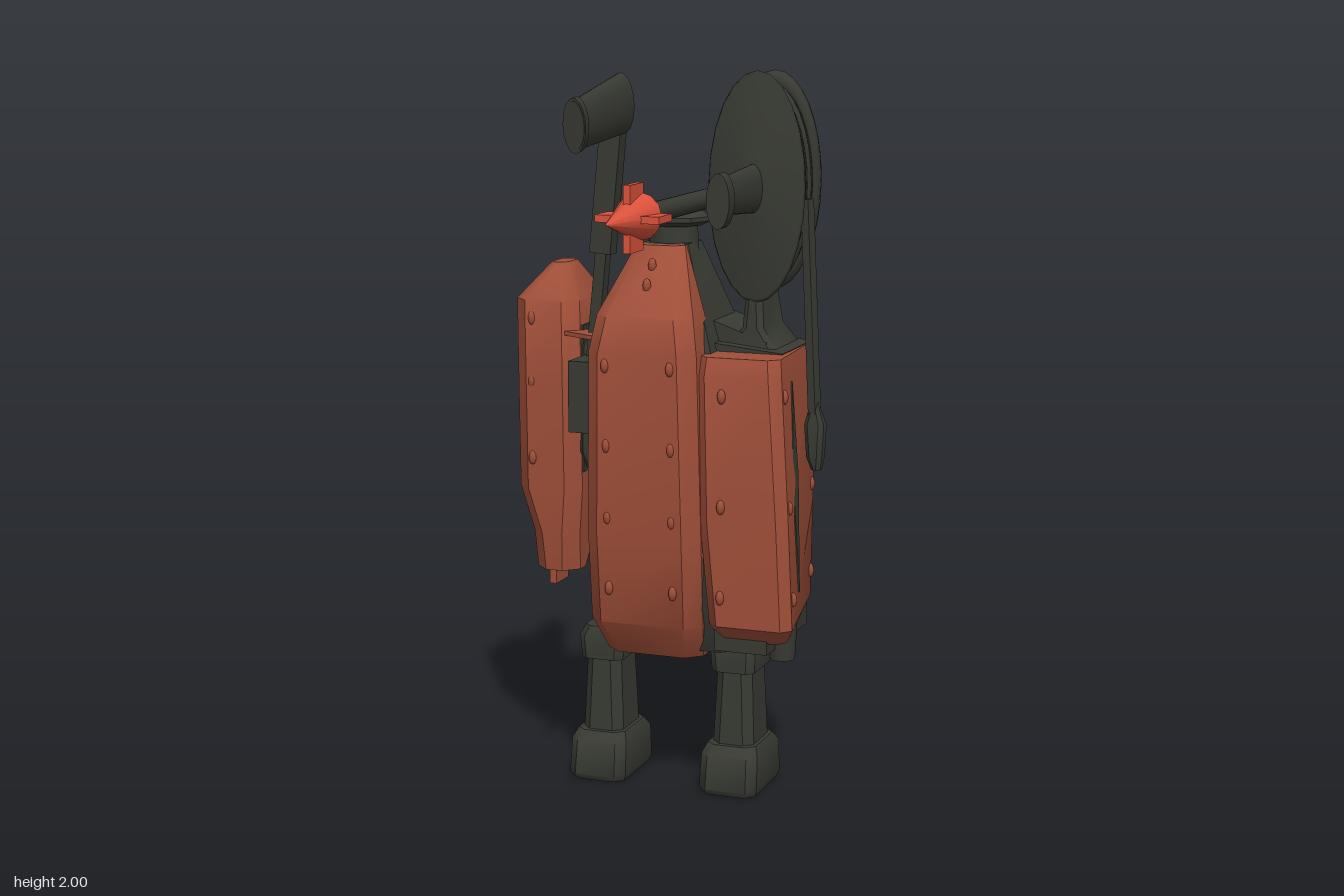
import * as THREE from 'three';
import { toCreasedNormals } from 'three/addons/utils/BufferGeometryUtils.js';

const mat = (name, color) => {
  const m = new THREE.MeshStandardMaterial({ color });
  m.name = name;
  return m;
};

// Loft of chamfered rectangles; each section is [y, x0, x1, z0, z1], warpX may move points sideways
function loft(sections, cut = 0.05, warpX = (x) => x) {
  const pos = [];
  const rings = sections.map(([y, x0, x1, z0, z1]) => {
    const c = Math.min(cut, (x1 - x0) * 0.4, (z1 - z0) * 0.4);
    return [[x1, z0 + c], [x1, z1 - c], [x1 - c, z1], [x0 + c, z1], [x0, z1 - c], [x0, z0 + c], [x0 + c, z0], [x1 - c, z0]]
      .map(([x, z]) => [warpX(x, y, z), y, z]);
  });
  const tri = (...p) => p.forEach((v) => pos.push(...v));
  const last = rings.length - 1;
  for (let i = 0; i < 8; i++) {
    const j = (i + 1) % 8;
    for (let r = 0; r < last; r++) {
      const lo = rings[r], hi = rings[r + 1];
      tri(lo[i], hi[i], lo[j]);
      tri(lo[j], hi[i], hi[j]);
    }
    if (i > 0 && i < 7) {
      tri(rings[0][0], rings[0][i], rings[0][j]);
      tri(rings[last][0], rings[last][j], rings[last][i]);
    }
  }
  const g = new THREE.BufferGeometry();
  g.setAttribute('position', new THREE.Float32BufferAttribute(pos, 3));
  return toCreasedNormals(g, 0.7);
}

// Flat polygon with a small depth
const plate = (points, depth) =>
  new THREE.ExtrudeGeometry(new THREE.Shape(points.map((p) => new THREE.Vector2(...p))), { depth, bevelEnabled: false });

export function createModel() {
  const model = new THREE.Group();
  const rust = mat('rust paint', 0xa04f39);
  const dark = mat('dark iron', 0x383a33);
  const red = mat('red tip', 0xdc523c);

  const add = (name, geo, m, x = 0, y = 0, z = 0, parent = model) => {
    const mesh = new THREE.Mesh(geo, m);
    mesh.name = name;
    mesh.position.set(x, y, z);
    parent.add(mesh);
    return mesh;
  };
  const box = (name, m, w, h, d, x, y, z, parent) => add(name, new THREE.BoxGeometry(w, h, d), m, x, y, z, parent);
  // Cylinder lying along z, r0 at the front end
  const rodZ = (name, m, r0, r1, len, x, y, z, parent, n = 20) =>
    add(name, new THREE.CylinderGeometry(r1, r0, len, n).rotateX(-Math.PI / 2), m, x, y, z, parent);
  // Bar with rectangular section between two points
  const bar = (name, m, a, b, w, d) => {
    const p = new THREE.Vector3(...a), q = new THREE.Vector3(...b), v = q.clone().sub(p);
    const mesh = box(name, m, w, v.length(), d, 0, 0, 0);
    mesh.position.copy(p).add(q).multiplyScalar(0.5);
    mesh.quaternion.setFromUnitVectors(new THREE.Vector3(0, 1, 0), v.normalize());
    return mesh;
  };
  const rivetGeo = new THREE.SphereGeometry(0.012, 8, 6);
  const rivet = (x, y, z) => add('rivet', rivetGeo, rust, x, y, z).scale.set(1, 1.7, 1);

  // Front and rear body shells around a dark core
  add('frontShell', loft([
    [0.4, -0.125, 0.155, -0.33, -0.2], [0.5, -0.15, 0.175, -0.31, -0.135], [0.75, -0.152, 0.176, -0.3, -0.11],
    [1.25, -0.142, 0.167, -0.29, -0.09], [1.35, -0.125, 0.15, -0.29, -0.11], [1.53, -0.06, 0.08, -0.32, -0.26],
  ], 0.042), rust);
  add('rearShell', loft([
    [0.41, -0.1, 0.13, -0.5, -0.42], [0.5, -0.135, 0.16, -0.555, -0.43], [0.75, -0.14, 0.165, -0.58, -0.46],
    [1.25, -0.135, 0.16, -0.595, -0.48], [1.36, -0.1, 0.12, -0.56, -0.46], [1.5, -0.05, 0.07, -0.49, -0.44],
  ], 0.045), rust);
  add('bodyCore', loft([
    [0.42, -0.13, 0.24, -0.48, -0.22], [0.55, -0.15, 0.24, -0.51, -0.17], [1.25, -0.145, 0.18, -0.52, -0.18],
    [1.33, -0.125, 0.155, -0.51, -0.2], [1.53, -0.055, 0.075, -0.46, -0.29],
  ], 0.03), dark);
  for (const y of [0.6, 0.8, 1.0, 1.22]) for (const x of [-0.08, 0.105]) rivet(x, y, -0.124 + (y - 0.6) * 0.05);
  for (const y of [0.6, 0.85, 1.1, 1.25]) for (const x of [-0.08, 0.1]) rivet(x, y, -0.565 - (y - 0.6) * 0.045);
  for (const y of [1.43, 1.48]) rivet(0.01, y, -0.1 - (y - 1.34) * 0.83);

  // Neck and capped lid
  add('neck', new THREE.CylinderGeometry(0.07, 0.075, 0.07, 8), dark, 0.01, 1.54, -0.385);
  add('lidGasket', new THREE.CylinderGeometry(0.055, 0.055, 0.03, 12), rust, 0.01, 1.575, -0.385);
  add('lid', toCreasedNormals(new THREE.LatheGeometry([
    [0, 1.575], [0.075, 1.575], [0.1, 1.588], [0.1, 1.6], [0.065, 1.627], [0, 1.63],
  ].map((p) => new THREE.Vector2(...p)), 8), 0.5), dark, 0.015, 0, -0.385);

  // Rear hatch, recess and hinge
  add('rearDome', new THREE.SphereGeometry(0.06, 16, 10), rust, 0.01, 0.88, -0.575).scale.set(0.9, 1.65, 0.65);
  box('rearLatch', rust, 0.1, 0.06, 0.05, 0.01, 1.08, -0.595);
  add('rearRecess', plate([[-0.09, 0], [0.09, 0], [0, 0.17]], 0.008), dark, 0.01, 0.62, -0.578);
  add('rearHinge', new THREE.CylinderGeometry(0.03, 0.03, 0.13, 12).rotateZ(Math.PI / 2), dark, 0.01, 0.6, -0.565);

  // Side tank on the left, its outer wall narrowing toward the rear
  const tankX = (x, y, z) => (x > 0.3 ? x - (-0.13 - z) * (0.18 - 0.16 * (y - 0.5)) : x);
  add('sideTank', loft([
    [0.47, 0.21, 0.42, -0.55, -0.18], [0.52, 0.2, 0.44, -0.585, -0.125], [0.8, 0.172, 0.425, -0.585, -0.125],
    [1.2, 0.16, 0.398, -0.575, -0.13], [1.25, 0.16, 0.39, -0.56, -0.15],
  ], 0.03, tankX), rust);
  const tankTop = box('tankTopPlate', dark, 0.215, 0.02, 0.27, 0.258, 1.253, -0.395);
  tankTop.rotation.z = -0.1;
  const gap = plate([[-0.26, 1.18], [-0.288, 0.92], [-0.268, 0.6], [-0.238, 0.92]], 0.03).rotateY(-Math.PI / 2);
  add('tankSideGap', gap.translate(0, -0.9, 0), dark, 0.408, 0.9, 0).rotation.z = 0.045;
  box('tankUnderside', dark, 0.15, 0.06, 0.37, 0.285, 0.47, -0.355);
  add('drainCap', new THREE.CylinderGeometry(0.04, 0.035, 0.1, 10), dark, 0.37, 0.455, -0.28);
  for (const y of [0.6, 0.85, 1.15]) {
    for (const z of [-0.18, -0.52]) rivet(tankX(0.437 - (y - 0.6) * 0.065, y, z), y, z);
    rivet(0.24, y, -0.125);
    rivet(0.32, y, -0.58);
  }

  // Side pod on the right
  add('sidePod', loft([
    [0.57, -0.41, -0.28, -0.49, -0.37], [0.68, -0.415, -0.275, -0.57, -0.355], [0.81, -0.455, -0.265, -0.61, -0.35],
    [1.1, -0.455, -0.265, -0.62, -0.34], [1.35, -0.46, -0.27, -0.62, -0.345], [1.45, -0.38, -0.33, -0.54, -0.43],
  ], 0.04), rust);
  box('podInnerPanel', dark, 0.008, 0.42, 0.18, -0.264, 1.07, -0.48);
  box('podFin', rust, 0.02, 0.1, 0.09, -0.35, 0.58, -0.42);
  const horn = plate([[-0.32, 0.36], [-0.17, 0.28], [-0.27, 0.43]], 0.012);
  add('podBrace', horn.rotateX(-Math.PI / 2), rust, 0, 1.255, 0);
  box('podWindow', dark, 0.1, 0.16, 0.008, -0.36, 1.0, -0.623);
  for (const s of [-1, 1]) {
    box('podWindowPost', rust, 0.022, 0.22, 0.04, -0.36 + s * 0.061, 1.0, -0.61);
    box('podWindowRail', rust, 0.122, 0.025, 0.04, -0.36, 1.0 + s * 0.098, -0.61);
  }
  for (const y of [0.9, 1.12, 1.3]) {
    rivet(-0.4, y, -0.348);
    rivet(-0.457, y, -0.48);
  }
  add('podMount', loft([
    [0.83, -0.24, -0.19, -0.48, -0.4], [0.92, -0.27, -0.14, -0.52, -0.37], [1.22, -0.27, -0.13, -0.52, -0.38], [1.26, -0.26, -0.13, -0.52, -0.39],
  ], 0.015), dark);
  box('mountBracket', dark, 0.07, 0.2, 0.14, -0.215, 1.1, -0.32);

  // Legs and boots
  for (const [x, name] of [[-0.17, 'rightLeg'], [0.22, 'leftLeg']]) {
    const leg = new THREE.Group();
    leg.name = name;
    leg.position.set(x, 0, -0.375);
    model.add(leg);
    add('boot', loft([
      [0, -0.078, 0.078, -0.125, 0.128], [0.015, -0.084, 0.084, -0.13, 0.135], [0.11, -0.082, 0.082, -0.125, 0.122], [0.137, -0.07, 0.07, -0.1, 0.1],
    ], 0.025), dark, 0, 0, 0, leg);
    add('shin', loft([[0.12, -0.06, 0.06, -0.09, 0.085], [0.37, -0.05, 0.05, -0.078, 0.078]], 0.025), dark, 0, 0, 0, leg);
    add('cuff', loft([[0.345, -0.062, 0.062, -0.09, 0.09], [0.41, -0.066, 0.066, -0.095, 0.095], [0.44, -0.052, 0.052, -0.085, 0.085]], 0.02), dark, 0, 0, 0, leg);
    add('hipStrut', new THREE.CylinderGeometry(0.022, 0.022, 0.14, 10), dark, 0.015, 0.48, 0, leg);
  }

  // Crank arm with oval handle
  bar('crankLower', dark, [-0.225, 1.15, -0.37], [-0.19, 1.52, -0.37], 0.032, 0.04);
  bar('crankUpper', dark, [-0.194, 1.49, -0.37], [-0.153, 1.94, -0.37], 0.062, 0.05);
  const handle = new THREE.Group();
  handle.name = 'crankHandle';
  handle.position.set(-0.145, 1.88, -0.215);
  handle.scale.x = 0.44;
  handle.rotation.x = 0.12;
  model.add(handle);
  rodZ('grip', dark, 0.066, 0.085, 0.35, 0, 0, 0, handle);
  rodZ('gripRim', dark, 0.074, 0.074, 0.025, 0, 0, 0.16, handle);

  // Oval cable spool
  const spool = new THREE.Group();
  spool.name = 'cableSpool';
  spool.position.set(0.272, 1.69, 0);
  spool.scale.x = 0.44;
  model.add(spool);
  const dish = new THREE.LatheGeometry([
    [0, -0.33], [0.295, -0.318], [0.31, -0.31], [0.3, -0.3], [0.1, -0.275], [0, -0.27],
  ].map((p) => new THREE.Vector2(...p)), 24).rotateX(Math.PI / 2);
  add('frontDisc', dish, dark, 0, 0, 0, spool);
  rodZ('drum', dark, 0.25, 0.25, 0.12, 0, 0, -0.385, spool, 28);
  for (let i = 0; i < 6; i++) {
    add('cableTurn', new THREE.TorusGeometry(0.25 + (i % 2) * 0.01, 0.017, 8, 32), dark, 0, 0, -0.335 - i * 0.025, spool);
  }
  add('backRim', new THREE.TorusGeometry(0.27, 0.028, 8, 32), dark, 0, 0.008, -0.468, spool);
  rodZ('backHub', dark, 0.08, 0.07, 0.06, 0, 0, -0.465, spool);
  for (let i = 0; i < 8; i++) {
    const a = (i * Math.PI) / 4;
    const spoke = box('spoke', dark, 0.055, 0.22, 0.04, -Math.sin(a) * 0.15, Math.cos(a) * 0.15, -0.46, spool);
    spoke.rotation.z = a;
    rodZ('spokeBolt', rust, 0.014, 0.014, 0.02, -Math.sin(a) * 0.255, Math.cos(a) * 0.255, -0.49, spool, 8);
  }
  rodZ('barrel', dark, 0.048, 0.066, 0.27, 0, 0, -0.15, spool);
  rodZ('barrelRim', dark, 0.072, 0.072, 0.045, 0, -0.01, -0.012, spool);

  // Rear end of the shaft behind the spool
  rodZ('axleCollar', rust, 0.028, 0.022, 0.03, 0.2, 1.68, -0.5);
  rodZ('axle', dark, 0.012, 0.012, 0.08, 0.2, 1.68, -0.51);
  rodZ('axleKnob', dark, 0.048, 0.048, 0.025, 0.2, 1.675, -0.548);

  // Spool support
  add('spoolBracket', loft([
    [1.22, 0.16, 0.36, -0.53, -0.29], [1.27, 0.2, 0.32, -0.52, -0.3], [1.31, 0.235, 0.295, -0.5, -0.3], [1.45, 0.245, 0.285, -0.46, -0.31],
  ], 0.015), dark);
  bar('bodyBracket', dark, [0.1, 1.32, -0.4], [0.3, 1.25, -0.4], 0.05, 0.2);

  // Hanging cable and weight
  bar('hangingCable', dark, [0.4, 1.66, -0.355], [0.43, 1.08, -0.352], 0.022, 0.034);
  add('cableWeight', loft([
    [0.925, 0.425, 0.45, -0.375, -0.335], [0.96, 0.412, 0.456, -0.38, -0.328], [1.05, 0.405, 0.46, -0.38, -0.328], [1.11, 0.42, 0.44, -0.365, -0.34],
  ], 0.012), dark);

  // Harpoon shaft and red finned tip
  rodZ('harpoonShaft', dark, 0.026, 0.026, 0.69, 0.2, 1.675, 0.045);
  rodZ('harpoonTip', red, 0, 0.06, 0.225, 0.2, 1.675, 0.5, model, 12);
  rodZ('tipCollar', red, 0.06, 0.035, 0.02, 0.2, 1.675, 0.378, model, 12);
  box('tipFinWide', red, 0.165, 0.018, 0.09, 0.2, 1.675, 0.425);
  box('tipFinTall', red, 0.018, 0.165, 0.09, 0.2, 1.675, 0.425);

  return model;
}
